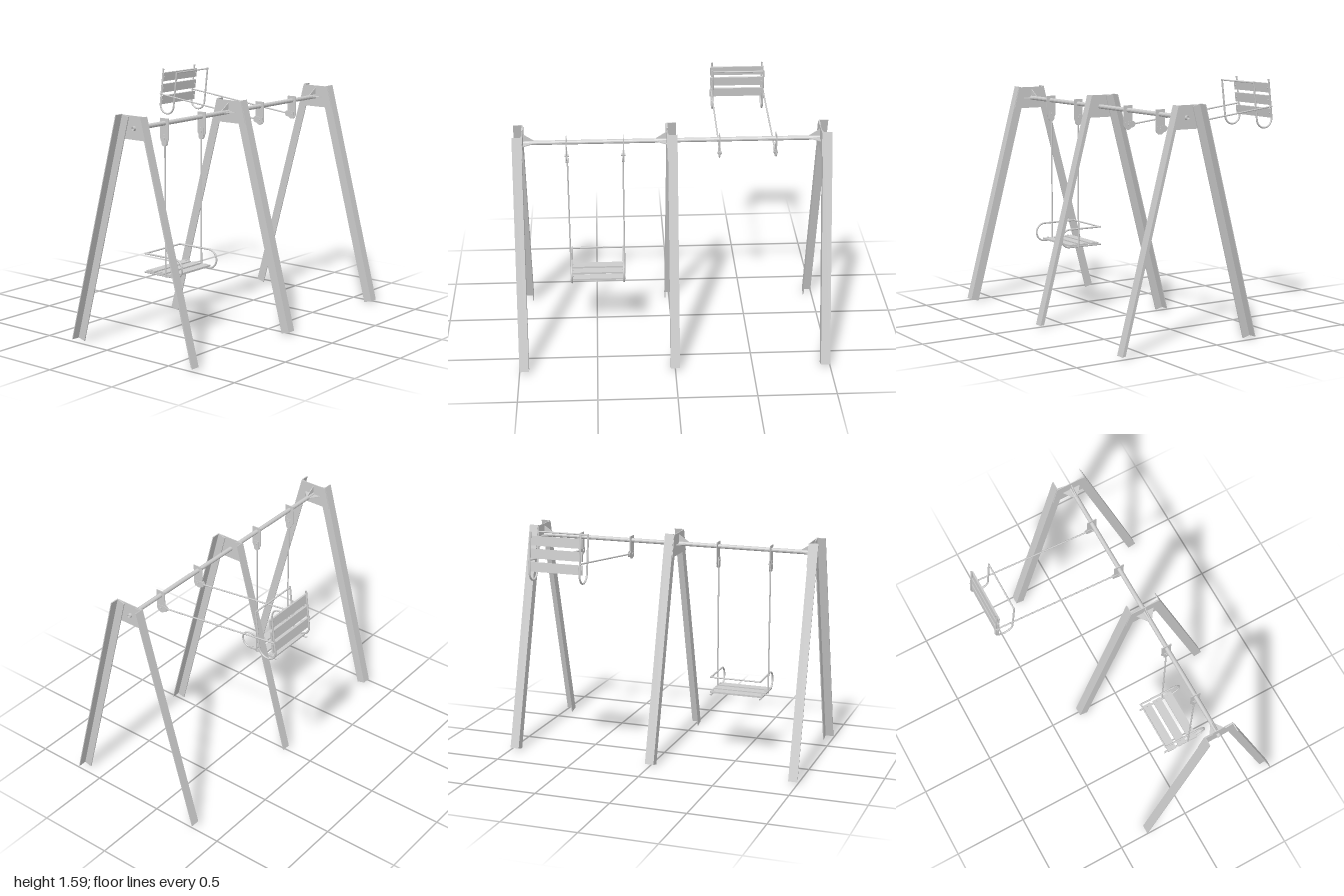
import * as THREE from 'three';

const PIPE_Y = 1.4, MID_Z = 0.193, PIVOT_Y = 1.307;
const mat = new THREE.MeshStandardMaterial({ color: 0xcccccc });
const tubeMat = new THREE.MeshStandardMaterial({ color: 0xcccccc, side: THREE.DoubleSide });

function add(parent, name, geometry, x = 0, y = 0, z = 0, material = mat) {
  const mesh = new THREE.Mesh(geometry, material);
  mesh.name = name;
  mesh.position.set(x, y, z);
  parent.add(mesh);
  return mesh;
}

function polygon(points) {
  return new THREE.Shape(points.map(([x, y]) => new THREE.Vector2(x, y)));
}

function extrude(shape, depth) {
  return new THREE.ExtrudeGeometry(shape, { depth, bevelEnabled: false, curveSegments: 12 });
}

// Sheet lying in the yz plane, outline given as (z, y), centred on x = 0
function sidePlate(shape, t) {
  return extrude(shape, t).translate(0, 0, -t / 2).rotateY(-Math.PI / 2);
}

// Cylinder running along x
function rodX(r, length, sides = 16) {
  return new THREE.CylinderGeometry(r, r, length, sides).rotateZ(Math.PI / 2);
}

// Tab with a rounded lower end
function tabShape(halfWidth, top, arcY) {
  const s = new THREE.Shape();
  s.moveTo(halfWidth, top);
  s.lineTo(-halfWidth, top);
  s.lineTo(-halfWidth, arcY);
  s.absarc(0, arcY, halfWidth, Math.PI, 2 * Math.PI, false);
  s.closePath();
  return s;
}

// Angle-iron leg; s = +1 front, -1 back; f = side of the inward flange
function makeLeg(s, f) {
  const w = 0.03, t = 0.006, d = 0.058;
  const shape = polygon([
    [-f * w, 0], [f * w, 0], [f * w, s * d],
    [f * (w - t), s * d], [f * (w - t), s * t], [-f * w, s * t],
  ]);
  const angle = Math.atan2(0.393, 1.464);
  const leg = new THREE.Mesh(extrude(shape, 1.464 / Math.cos(angle)).rotateX(-Math.PI / 2), mat);
  leg.name = s > 0 ? 'frontLeg' : 'backLeg';
  leg.position.set(0, 0.016, MID_Z + s * 0.492);
  leg.rotation.x = -s * angle;
  return leg;
}

// A-frame with head plate and pipe gussets on its flange side
function makeFrame(x, f) {
  const frame = new THREE.Group();
  frame.name = 'aFrame';
  frame.position.x = x;
  frame.add(makeLeg(1, f), makeLeg(-1, f));
  const head = polygon([[-0.098, 1.475], [0.098, 1.475], [0.135, 1.33], [-0.135, 1.33]]);
  add(frame, 'headPlate', sidePlate(head, 0.005), f * 0.0325, 0, MID_Z);
  const upright = polygon([[0, 0], [f * 0.068, 0], [f * 0.068, 0.006], [0, 0.05]]);
  add(frame, 'uprightGusset', extrude(upright, 0.005), f * 0.034, PIPE_Y + 0.01, MID_Z - 0.0025);
  const flat = polygon([[0, -0.062], [f * 0.064, -0.015], [f * 0.064, 0.015], [0, 0.062]]);
  add(frame, 'flatGusset', extrude(flat, 0.005).rotateX(-Math.PI / 2),
    f * 0.034, PIPE_Y - 0.0025, MID_Z);
  return frame;
}

// Armrest loop in the yz plane
function loopGeometry() {
  const low = -0.872, high = -0.752, r = (high - low) / 2, back = -0.178, front = 0.068;
  const arc = [];
  for (let i = 0; i <= 12; i++) {
    const a = -Math.PI / 2 + (Math.PI * i) / 12;
    arc.push(new THREE.Vector3(0, (low + high) / 2 + r * Math.sin(a), front + r * Math.cos(a)));
  }
  const path = new THREE.CurvePath();
  path.add(new THREE.LineCurve3(new THREE.Vector3(0, low, back), arc[0]));
  path.add(new THREE.CatmullRomCurve3(arc));
  path.add(new THREE.LineCurve3(arc[12], new THREE.Vector3(0, high, back)));
  return new THREE.TubeGeometry(path, 60, 0.006, 10);
}

// Swing hanging from its pivot, turned by the given angle
function makeSwing(x, angle) {
  const swing = new THREE.Group();
  swing.name = 'swing';
  swing.position.set(x, 0, MID_Z);

  const hung = new THREE.Group();
  hung.name = 'hangingSeat';
  hung.position.y = PIVOT_Y;
  hung.rotation.x = angle;
  swing.add(hung);

  for (const side of [-1, 1]) {
    // Fixed hanger plate on the pipe
    add(swing, 'hangerPlate', sidePlate(tabShape(0.033, 1.43, 1.308), 0.005), side * 0.18);
    // Moving clevis, pivot bolt and rod
    for (const off of [-0.006, 0.006]) {
      add(hung, 'clevisPlate', sidePlate(tabShape(0.02, 0.022, -0.03), 0.004), side * 0.178 + off);
    }
    add(hung, 'pivotBolt', rodX(0.008, 0.026, 12), side * 0.178);
    add(hung, 'hangerRod', new THREE.CylinderGeometry(0.005, 0.005, 0.85, 10), side * 0.176, -0.452);
    add(hung, 'armrestLoop', loopGeometry(), side * 0.169, 0, 0, tubeMat);
  }

  add(hung, 'backBar', rodX(0.005, 0.338, 10), 0, -0.752, -0.172);

  // Seat slats with bolt heads
  for (const z of [-0.123, -0.043, 0.04]) {
    add(hung, 'seatSlat', new THREE.BoxGeometry(0.362, 0.012, 0.06), 0, -0.861, z);
    for (const side of [-1, 1]) {
      add(hung, 'slatBolt', new THREE.CylinderGeometry(0.007, 0.007, 0.005, 10),
        side * 0.169, -0.853, z);
    }
  }
  return swing;
}

export function createModel() {
  const model = new THREE.Group();
  model.name = 'swingSet';

  // Hollow top pipe
  const ring = [[0.009, -0.958], [0.014, -0.958], [0.014, 0.958], [0.009, 0.958], [0.009, -0.958]];
  const pipe = new THREE.Shape();
  pipe.absarc(0, 0, ring[1][0], 0, Math.PI * 2, false);
  const bore = new THREE.Path();
  bore.absarc(0, 0, ring[0][0], 0, Math.PI * 2, true);
  pipe.holes.push(bore);
  add(model, 'topPipe', sidePlate(pipe, 1.916), 0, PIPE_Y, MID_Z);

  model.add(makeFrame(-0.97, 1), makeFrame(0, -1), makeFrame(0.97, -1));
  model.add(makeSwing(-0.486, 0), makeSwing(0.481, THREE.MathUtils.degToRad(96.7)));
  return model;
}
